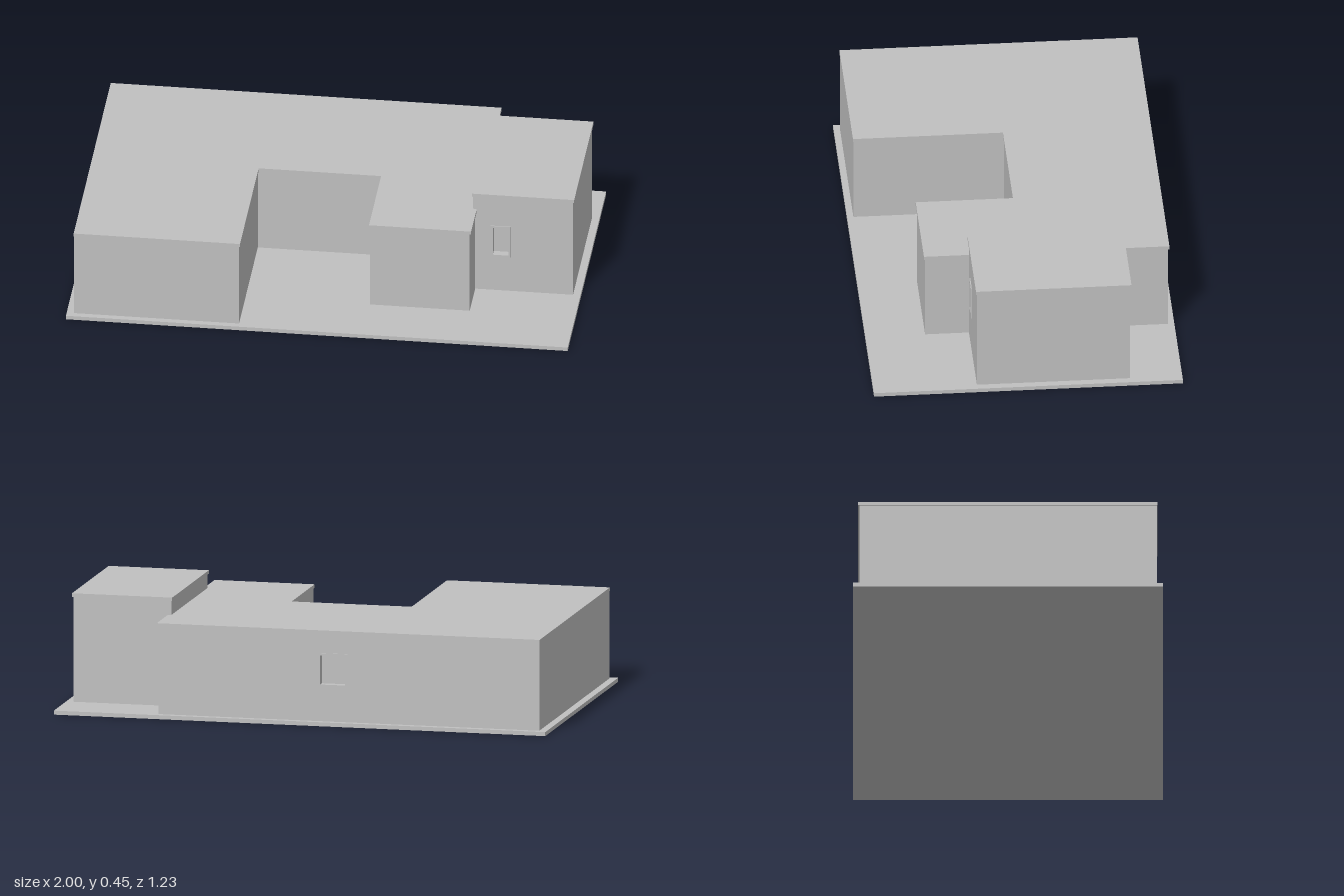
import * as THREE from 'three';

const BASE_TOP = 0.016;
const WALL_T = 0.03;

function rectPoints(x0, y0, x1, y1) {
  return [[x0, y0], [x1, y0], [x1, y1], [x0, y1]].map(([x, y]) => new THREE.Vector2(x, y));
}

// Ring shape: outer rectangle with a smaller rectangular opening
function ringGeometry(outer, hole, depth) {
  const shape = new THREE.Shape(rectPoints(...outer));
  if (hole) shape.holes.push(new THREE.Path(rectPoints(...hole).reverse()));
  return new THREE.ExtrudeGeometry(shape, { depth, bevelEnabled: false });
}

export function createModel() {
  const model = new THREE.Group();
  model.name = 'house';
  const grey = new THREE.MeshStandardMaterial({ color: 0xc0c0c0 });
  grey.name = 'plain grey';

  const add = (parent, name, geometry) => {
    const mesh = new THREE.Mesh(geometry, grey);
    mesh.name = name;
    parent.add(mesh);
    return mesh;
  };

  // Wall panel from p to q; the outside lies at local +z. win = [u0, y0, u1, y1]
  const wall = (parent, p, q, top, win) => {
    const dx = q[0] - p[0], dz = q[1] - p[1];
    const g = new THREE.Group();
    g.name = win ? 'windowWall' : 'wall';
    g.position.set(p[0], 0, p[1]);
    g.rotation.y = Math.atan2(-dz, dx);
    parent.add(g);
    const f = 0.009;
    const hole = win && [win[0] + f, win[1] + f, win[2] - f, win[3] - f];
    const panel = ringGeometry([0, BASE_TOP, Math.hypot(dx, dz), top], hole, WALL_T);
    add(g, 'wallPanel', panel.translate(0, 0, -WALL_T));
    if (win) {
      add(g, 'windowFrame', ringGeometry(win, hole, 0.004));
      const pane = new THREE.PlaneGeometry(win[2] - win[0], win[3] - win[1]);
      pane.translate((win[0] + win[2]) / 2, (win[1] + win[3]) / 2, -WALL_T + 0.004);
      add(g, 'windowPane', pane);
    }
  };

  // Closed loop of walls; windows are keyed by wall index
  const walls = (parent, plan, top, windows) =>
    plan.forEach((p, i) => wall(parent, p, plan[(i + 1) % plan.length], top, windows[i]));

  // Flat roof slab over a plan of [x, z] corners
  const roof = (parent, plan, top, thick) => {
    const shape = new THREE.Shape(plan.map(([x, z]) => new THREE.Vector2(x, -z)));
    const geo = new THREE.ExtrudeGeometry(shape, { depth: thick, bevelEnabled: false });
    geo.rotateX(-Math.PI / 2).translate(0, top - thick, 0);
    add(parent, 'roof', geo);
  };

  // Ground slab
  add(model, 'groundSlab', new THREE.BoxGeometry(2, BASE_TOP, 1.226).translate(0, BASE_TOP / 2, 0));

  // U-shaped main wing
  const main = new THREE.Group();
  main.name = 'mainWing';
  model.add(main);
  walls(main, [
    [-0.97, 0.588], [-0.313, 0.588], [-0.313, -0.01], [0.182, -0.01],
    [0.182, 0.376], [0.58, 0.376], [0.58, -0.588], [-0.97, -0.588],
  ], 0.37, { 3: [0.08, 0.145, 0.21, 0.31], 6: [0.65, 0.155, 0.77, 0.29] });
  roof(main, [
    [-0.972, 0.59], [-0.309, 0.59], [-0.309, -0.005], [0.179, -0.005],
    [0.179, 0.381], [0.586, 0.381], [0.586, -0.593], [-0.972, -0.593],
  ], 0.382, 0.014);

  // Taller side block
  const block = new THREE.Group();
  block.name = 'tallBlock';
  model.add(block);
  walls(block, [[0.572, 0.202], [0.97, 0.202], [0.97, -0.405], [0.572, -0.405]],
    0.445, { 0: [0.07, 0.17, 0.15, 0.31] });
  roof(block, [[0.567, 0.206], [0.975, 0.206], [0.975, -0.411], [0.567, -0.411]], 0.453, 0.014);

  return model;
}
